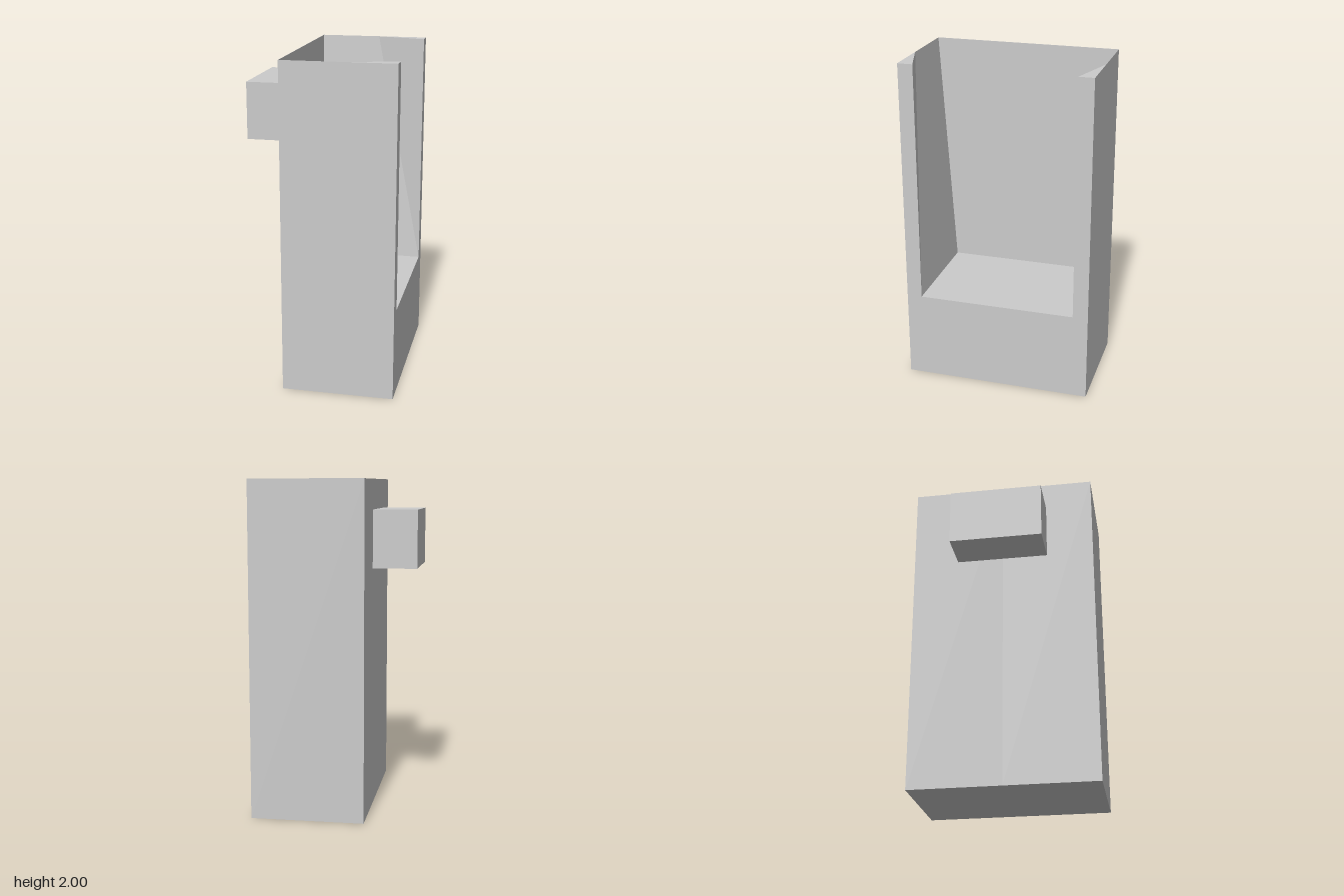
import * as THREE from 'three';

const X0 = -0.2, X1 = 0.475;     // back and open side
const XB = -0.197;               // inner face of the thin back panel
const W = 0.57, I = 0.478;       // outer half width, half width of the opening
const H = 0.535, T = 2;          // pocket floor, rim

// One half of the body; s = 1 for +z, -1 for the mirrored half.
// m, n: where the sloping inner wall starts to twist, at the rim and the floor.
function halfBody(s, m, n) {
  const faces = [
    [[X0, 0, 0], [X1, 0, 0], [X1, 0, W], [X0, 0, W]],       // underside
    [[X0, 0, 0], [X0, 0, W], [X0, T, W], [X0, T, 0]],       // back
    [[X0, 0, W], [X1, 0, W], [X1, T, W], [X0, T, W]],       // outer side
    [[X1, 0, 0], [X1, H, 0], [X1, H, W], [X1, 0, W]],       // sill below the opening
    [[X1, H, I], [X1, T, I], [X1, T, W], [X1, H, W]],       // jamb beside the opening
    [[XB, H, 0], [XB, H, I], [X1, H, I], [X1, H, 0]],       // pocket floor
    [[XB, H, 0], [XB, T, 0], [XB, T, W], [XB, H, I]],       // pocket back
    [[X0, T, 0], [X0, T, W], [XB, T, W], [XB, T, 0]],       // back rim
    [[m, T, W], [X1, T, W], [X1, T, I]],                    // rim corner
    [[XB, H, I], [XB, T, W], [m, T, W], [n, H, I]],         // sloping inner wall
    [[n, H, I], [m, T, W], [X1, H, I]],                     // twist toward the jamb
    [[m, T, W], [X1, T, I], [X1, H, I]],
  ];
  const pos = [];
  for (const f of faces) {
    const p = f.map(([x, y, z]) => [x, y, z * s]);
    if (s < 0) p.reverse();
    for (let k = 1; k < p.length - 1; k++) pos.push(...p[0], ...p[k], ...p[k + 1]);
  }
  const g = new THREE.BufferGeometry();
  g.setAttribute('position', new THREE.Float32BufferAttribute(pos, 3));
  g.computeVertexNormals();
  return g;
}

export function createModel() {
  const group = new THREE.Group();
  group.name = 'openHolder';
  const mat = new THREE.MeshStandardMaterial({ color: 0xcccccc });
  const add = (name, geo) => {
    const mesh = new THREE.Mesh(geo, mat);
    mesh.name = name;
    group.add(mesh);
    return mesh;
  };

  // Tall body with a pocket open at the top and one side
  add('bodyFrontHalf', halfBody(1, 0.197, 0.22));
  add('bodyBackHalf', halfBody(-1, 0.17, 0.155));

  // Separate block floating just off the closed side
  add('mountBlock', new THREE.BoxGeometry(0.264, 0.345, 0.567)).position.set(-0.343, 1.648, -0.002);

  return group;
}
